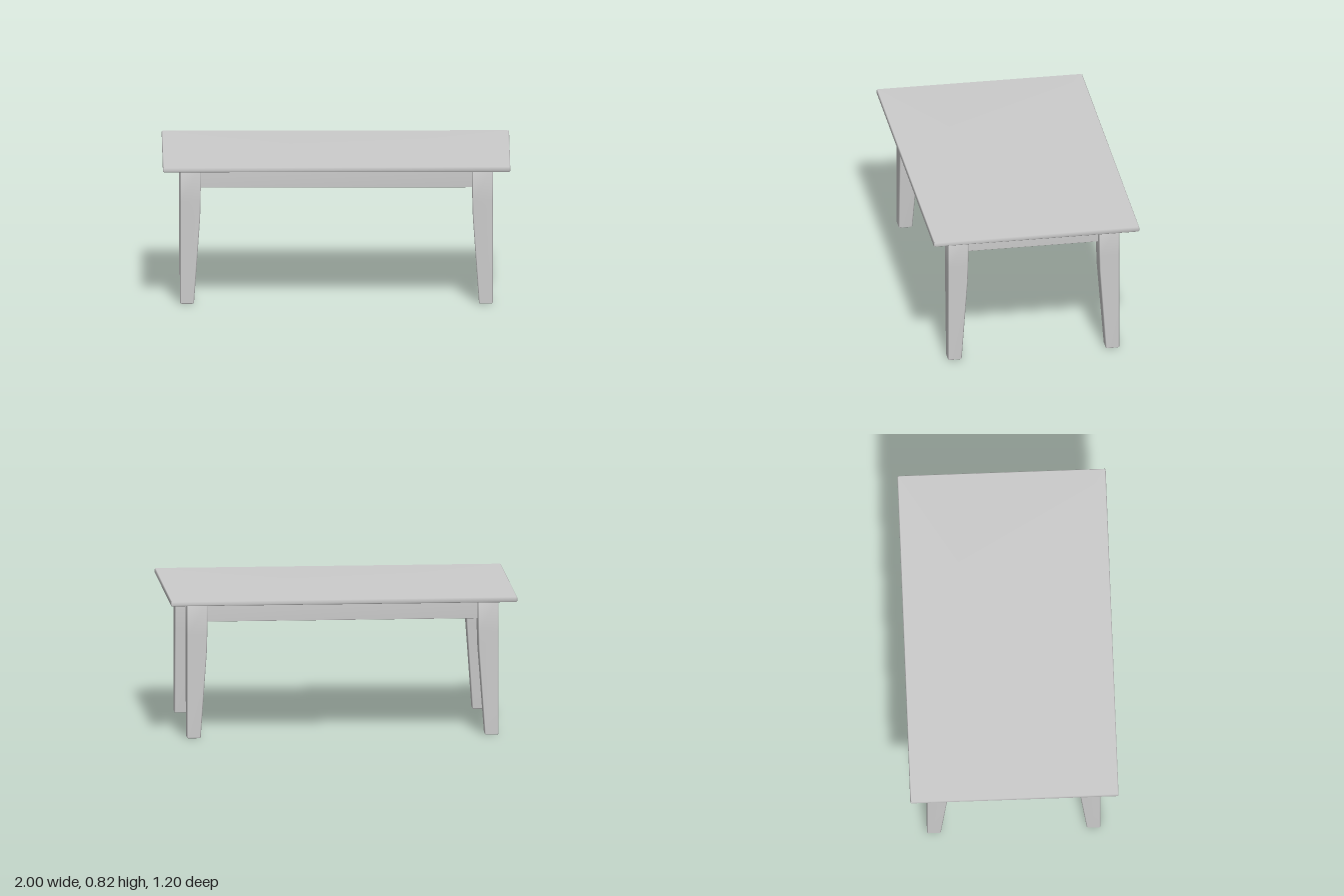
import * as THREE from 'three';

const material = new THREE.MeshStandardMaterial({ color: 0xcccccc });

// Lofts chamfered rectangles [y, x0, x1, z0, z1, chamfer] from bottom to top, with shared smooth normals.
function loft(sections) {
  const pos = [], index = [], n = 8;
  for (const [y, x0, x1, z0, z1, c] of sections) {
    const ring = [
      [x0 + c, z1], [x1 - c, z1], [x1, z1 - c], [x1, z0 + c],
      [x1 - c, z0], [x0 + c, z0], [x0, z0 + c], [x0, z1 - c],
    ];
    for (const [x, z] of ring) pos.push(x, y, z);
  }
  const last = (sections.length - 1) * n;
  for (let r = 0; r < last; r += n) {
    for (let i = 0; i < n; i++) {
      const j = (i + 1) % n;
      index.push(r + i, r + j, r + n + j, r + i, r + n + j, r + n + i);
    }
  }
  // end caps around a centre point
  for (const [s, start, top] of [[sections[0], 0, false], [sections.at(-1), last, true]]) {
    const centre = pos.length / 3;
    pos.push((s[1] + s[2]) / 2, s[0], (s[3] + s[4]) / 2);
    for (let i = 0; i < n; i++) {
      const a = start + i, b = start + (i + 1) % n;
      index.push(centre, ...(top ? [a, b] : [b, a]));
    }
  }
  const geometry = new THREE.BufferGeometry();
  geometry.setAttribute('position', new THREE.Float32BufferAttribute(pos, 3));
  geometry.setIndex(index);
  geometry.computeVertexNormals();
  return geometry;
}

// Block with softened edges
function block(x0, x1, y0, y1, z0, z1, b) {
  const inset = [x0 + b, x1 - b, z0 + b, z1 - b, b];
  const full = [x0, x1, z0, z1, b];
  return loft([[y0, ...inset], [y0 + b, ...full], [y1 - b, ...full], [y1, ...inset]]);
}

// Leg: straight outer faces, inner faces tapering towards the foot
function leg(sx, sz) {
  const profile = [[0, 0.076, 0.004], [0.005, 0.08, 0], [0.5, 0.115, 0], [0.6, 0.118, 0], [0.79, 0.12, 0]];
  return loft(profile.map(([y, w, inset]) => {
    const xs = [sx * (0.9 - inset), sx * (0.9 - w)].sort((a, b) => a - b);
    const zs = [sz * (0.5 - inset), sz * (0.5 - w)].sort((a, b) => a - b);
    return [y, ...xs, ...zs, 0.006];
  }));
}

export function createModel() {
  const table = new THREE.Group();
  table.name = 'table';
  const add = (name, geometry) => {
    const mesh = new THREE.Mesh(geometry, material);
    mesh.name = name;
    table.add(mesh);
  };

  add('tabletop', block(-1, 1, 0.787, 0.817, -0.6, 0.6, 0.005));

  // Four legs
  for (const [sx, side] of [[1, 'Left'], [-1, 'Right']]) {
    for (const [sz, end] of [[1, 'front'], [-1, 'back']]) add(`${end}${side}Leg`, leg(sx, sz));
  }

  // Aprons running between the legs
  for (const [s, long, short] of [[1, 'front', 'left'], [-1, 'back', 'right']]) {
    const z = 0.44 * s, x = 0.84 * s;
    add(`${long}Apron`, block(-0.8, 0.8, 0.673, 0.789, z - 0.02, z + 0.02, 0.003));
    add(`${short}Apron`, block(x - 0.02, x + 0.02, 0.673, 0.789, -0.4, 0.4, 0.003));
  }
  return table;
}
